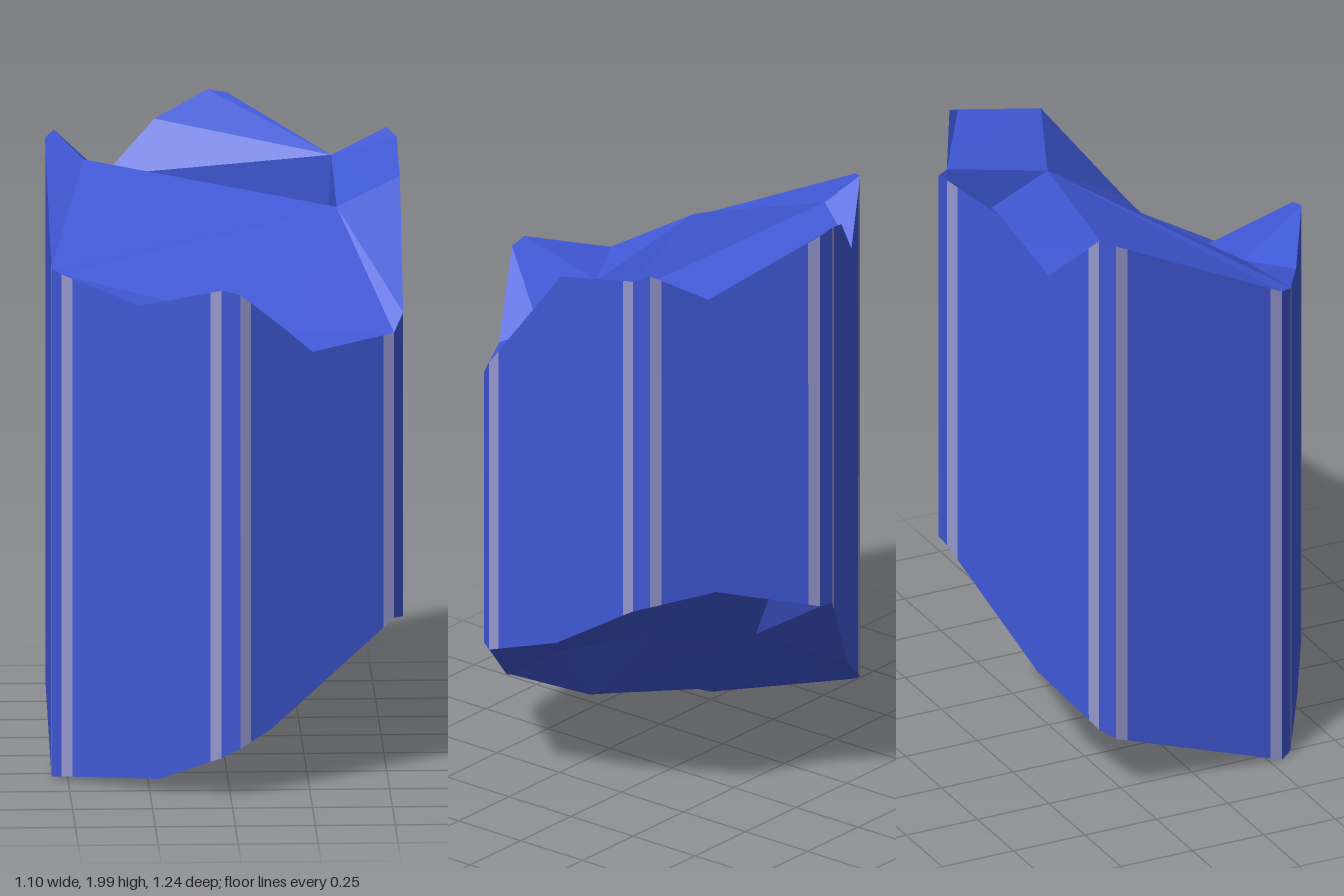
import * as THREE from 'three';

// Corner and mid-edge points in order round the column: [x, y, z]
const TOP = {
  f0: [-0.03, 1.64, 0.62], f1: [0.03, 1.625, 0.62], K: [0.26, 1.41, 0.485],
  r0: [0.52, 1.435, 0.335], r1: [0.55, 1.49, 0.29], G: [0.55, 1.86, 0],
  q0: [0.55, 1.92, -0.29], q1: [0.52, 1.94, -0.335], D: [0.35, 1.83, -0.43],
  k0: [0.03, 1.99, -0.62], k1: [-0.03, 2, -0.62], E: [-0.2, 1.93, -0.52], C: [-0.36, 1.77, -0.43],
  s0: [-0.52, 1.94, -0.335], s1: [-0.55, 1.925, -0.29],
  l0: [-0.55, 1.64, 0.29], l1: [-0.52, 1.63, 0.335], J: [-0.28, 1.56, 0.475],
};
const BOTTOM = {
  f0: [-0.03, 0.14, 0.62], f1: [0.03, 0.17, 0.62], K: [0.13, 0.22, 0.56],
  r0: [0.52, 0.52, 0.335], r1: [0.55, 0.515, 0.29], G: [0.55, 0.61, 0.02],
  q0: [0.55, 0.8, -0.29], q1: [0.52, 0.815, -0.335], D: [0.33, 0.835, -0.445],
  k0: [0.03, 0.735, -0.62], k1: [-0.03, 0.73, -0.62], C: [-0.32, 0.38, -0.45],
  s0: [-0.52, 0.24, -0.335], s1: [-0.55, 0.21, -0.29],
  l0: [-0.55, 0.01, 0.29], l1: [-0.52, 0.02, 0.335], J: [-0.22, 0.05, 0.51],
};

// Points inside the broken ends
const TOP_INNER = {
  A: [-0.43, 1.86, -0.265], B: [0.355, 1.745, -0.075], X: [0.34, 1.6, -0.432],
  H: [-0.1, 1.53, 0.385], I: [0.18, 1.46, 0.39],
};
const BOTTOM_INNER = {
  1: [-0.12, 0.49, -0.24], 2: [0, 0.79, -0.43], 3: [0.17, 0.77, -0.24], 4: [0.09, 0.49, 0],
  5: [0.36, 0.55, 0], 6: [0.15, 0.37, 0.33], 7: [-0.03, 0.16, 0.34], 8: [-0.3, 0.16, 0.08],
};

// Facets, counter-clockwise seen from above
const TOP_FACETS = 'J f0 H,f0 I H,f0 f1 I,f1 K I,K r0 I,r0 B I,r0 r1 B,r1 G B,G D B,G q0 D,q0 q1 D,' +
  'D k0 k1,D k1 E,D E C,C X D,X B D,A B X,A X C,C s0 A,s0 s1 A,s1 l0 A,A l0 B,l0 l1 B,l1 J H,l1 H B,H I B';
const BOTTOM_FACETS = 'J f0 7,f0 f1 7,f1 K 6,f1 6 7,K r0 6,r0 5 6,r0 r1 5,r1 G 5,G q0 5,q0 3 5,q0 q1 3,' +
  'q1 D 3,D 2 3,D k0 2,k0 k1 2,k1 1 2,1 3 2,k1 C 1,C s0 1,s0 s1 1,s1 8 1,s1 l0 8,l0 l1 8,l1 7 8,' +
  'l1 J 7,8 7 1,7 4 1,7 6 4,6 5 4,4 5 3,4 3 1';

function mesh(name, positions, material) {
  const geometry = new THREE.BufferGeometry();
  geometry.setAttribute('position', new THREE.Float32BufferAttribute(positions, 3));
  geometry.computeVertexNormals();
  const result = new THREE.Mesh(geometry, material);
  result.name = name;
  return result;
}

function facets(list, points, flip) {
  return list.split(',').flatMap((facet) => {
    const corners = facet.split(' ').map((key) => points[key]);
    if (flip) corners.reverse();
    return corners.flat();
  });
}

// Points of one rim from one corner to the next, with u measured along the wall
function rimBetween(rim, from, to) {
  const keys = Object.keys(rim);
  const points = [];
  for (let i = keys.indexOf(from); ; i = (i + 1) % keys.length) {
    points.push(rim[keys[i]]);
    if (keys[i] === to) break;
  }
  const a = points[0], b = points[points.length - 1];
  const length = Math.hypot(b[0] - a[0], b[2] - a[2]);
  return points.map((p) => ({ u: p === b ? 1 : Math.hypot(p[0] - a[0], p[2] - a[2]) / length, p }));
}

function sample(rim, u) {
  const i = Math.max(1, rim.findIndex((r) => r.u >= u - 1e-9));
  const a = rim[i - 1], b = rim[i];
  const t = (u - a.u) / (b.u - a.u);
  return a.p.map((v, k) => v + (b.p[k] - v) * t);
}

export function createModel() {
  const group = new THREE.Group();
  group.name = 'brokenHexagonalColumn';
  const blue = new THREE.MeshStandardMaterial({ name: 'stone blue', color: 0x4058d6, flatShading: true });
  const pale = new THREE.MeshStandardMaterial({ name: 'pale edge', color: 0x9496cc, flatShading: true });

  // Broken ends
  group.add(mesh('brokenTop', facets(TOP_FACETS, { ...TOP, ...TOP_INNER }, false), blue));
  group.add(mesh('brokenBottom', facets(BOTTOM_FACETS, { ...BOTTOM, ...BOTTOM_INNER }, true), blue));

  // Six walls with a pale strip along each upright edge, and six narrow bevels
  const STRIP = 0.068;
  const corners = ['f0', 'f1', 'r0', 'r1', 'q0', 'q1', 'k0', 'k1', 's0', 's1', 'l0', 'l1'];
  const walls = [], strips = [];
  corners.forEach((from, i) => {
    const to = corners[(i + 1) % corners.length];
    const isWall = i % 2 === 1;
    const upper = rimBetween(TOP, from, to), lower = rimBetween(BOTTOM, from, to);
    const cuts = [...upper, ...lower].map((r) => r.u).concat(isWall ? [STRIP, 1 - STRIP] : []);
    cuts.sort((a, b) => a - b);
    for (let k = 1; k < cuts.length; k++) {
      const u0 = cuts[k - 1], u1 = cuts[k];
      if (u1 - u0 < 1e-6) continue;
      const a = sample(lower, u0), b = sample(lower, u1), c = sample(upper, u1), d = sample(upper, u0);
      const mid = (u0 + u1) / 2;
      const target = isWall && (mid < STRIP || mid > 1 - STRIP) ? strips : walls;
      target.push(...a, ...b, ...c, ...a, ...c, ...d);
    }
  });
  group.add(mesh('columnWalls', walls, blue));
  group.add(mesh('edgeStrips', strips, pale));
  return group;
}
